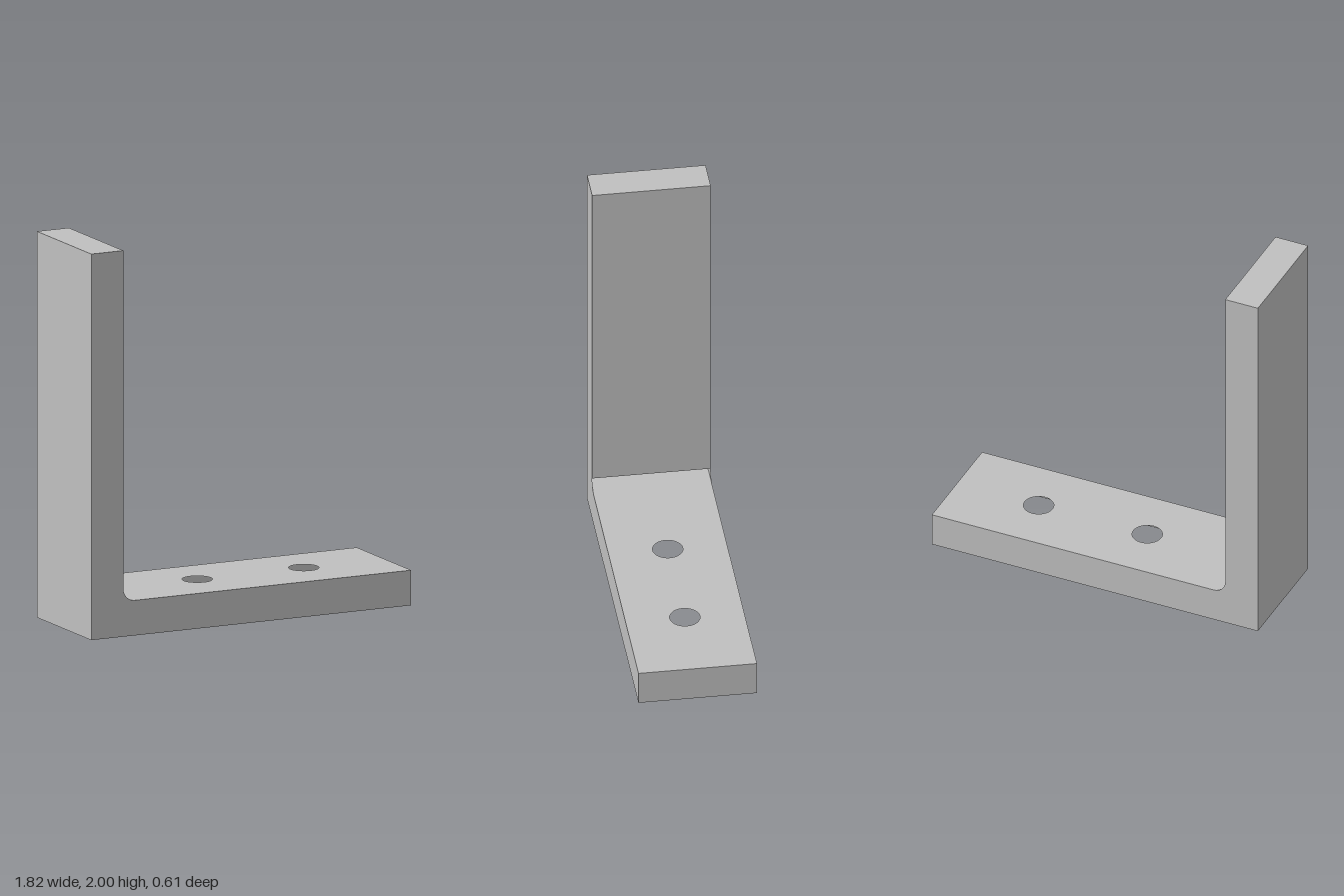
import * as THREE from 'three';

// Main dimensions
const W = 0.909;      // half length in x
const D = 0.303;      // half depth in z
const H = 2;          // height of the upright
const T = 0.182;      // thickness of both legs
const R = 0.067;      // radius of the inner corner
const INNER = -W + T; // x of the upright's inner face

export function createModel() {
  const group = new THREE.Group();
  group.name = 'angleBracket';
  const steel = new THREE.MeshStandardMaterial({ color: 0xbfbfbf, side: THREE.DoubleSide });
  steel.name = 'steelGrey';

  const add = (name, geometry, x, y, z) => {
    const mesh = new THREE.Mesh(geometry, steel);
    mesh.name = name;
    mesh.position.set(x, y, z);
    group.add(mesh);
    return mesh;
  };

  // L-shaped side sheets with a rounded inner corner
  const profile = new THREE.Shape();
  profile.moveTo(-W, 0);
  profile.lineTo(W, 0);
  profile.lineTo(W, T);
  profile.lineTo(INNER + R, T);
  profile.absarc(INNER + R, T + R, R, -Math.PI / 2, Math.PI, true);
  profile.lineTo(INNER, H);
  profile.lineTo(-W, H);
  profile.closePath();
  const side = new THREE.ShapeGeometry(profile, 12);
  add('frontSide', side, 0, 0, D);
  const back = side.clone().scale(1, 1, -1);
  const index = back.index.array; // restore outward winding after mirroring
  for (let i = 0; i < index.length; i += 3) {
    [index[i + 1], index[i + 2]] = [index[i + 2], index[i + 1]];
  }
  add('backSide', back, 0, 0, -D);

  // Base plate running under the upright, with two round bolt holes
  const plate = new THREE.Shape([
    new THREE.Vector2(-W, -D), new THREE.Vector2(W, -D),
    new THREE.Vector2(W, D), new THREE.Vector2(-W, D),
  ]);
  for (const x of [-0.152, 0.4535]) {
    plate.holes.push(new THREE.Path().absarc(x, 0, 0.077, 0, Math.PI * 2, true));
  }
  add('basePlate', new THREE.ShapeGeometry(plate, 24).rotateX(-Math.PI / 2), 0, T, 0);

  // Upright and end sheets; the underside and inner corner stay open
  const wall = (name, x, y0, y1, facing) =>
    add(name, new THREE.PlaneGeometry(2 * D, y1 - y0).rotateY(facing * Math.PI / 2), x, (y0 + y1) / 2, 0);
  wall('uprightOuterFace', -W, 0, H, -1);
  wall('uprightInnerFace', INNER, T + R, H, 1);
  wall('baseEnd', W, 0, T, 1);
  add('uprightTop', new THREE.PlaneGeometry(T, 2 * D).rotateX(-Math.PI / 2), -W + T / 2, H, 0);

  return group;
}
